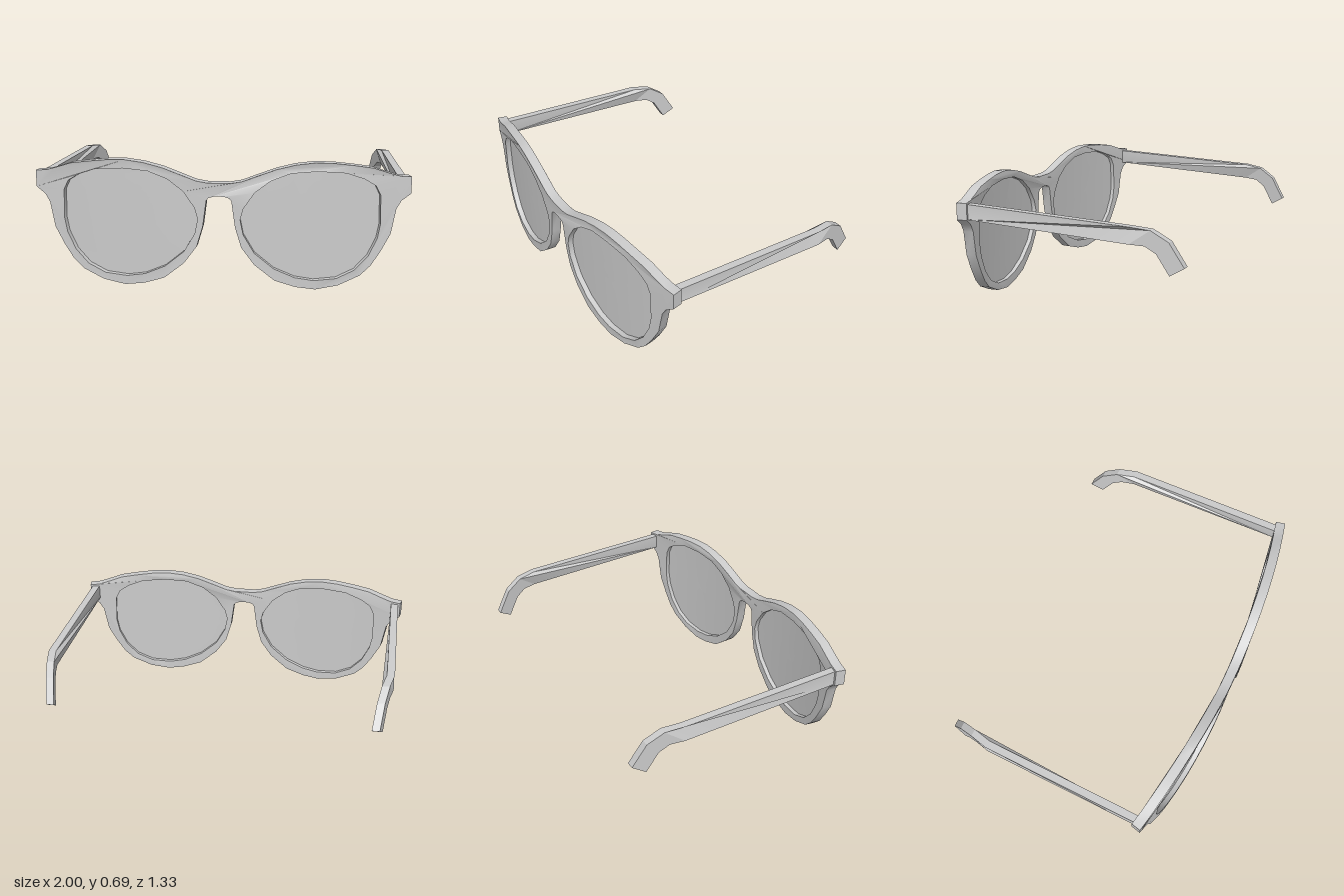
import * as THREE from 'three';
import { toCreasedNormals } from 'three/addons/utils/BufferGeometryUtils.js';

const THICK = 0.055;
const material = new THREE.MeshStandardMaterial({ color: 0xcccccc });
const lensMaterial = new THREE.MeshStandardMaterial({ color: 0xcccccc, side: THREE.DoubleSide });

const toPoints = (list) => list.map(([x, y]) => new THREE.Vector2(x, y));
const mirror = (list) => list.map(([x, y]) => [-x, y]).reverse();

// Half of the frame outline, from the top of the bridge round to its underside
const halfOutline = [
  [0.06, 0.575], [0.12, 0.585], [0.2, 0.615], [0.3, 0.651], [0.4, 0.675], [0.5, 0.686],
  [0.6, 0.682], [0.7, 0.67], [0.8, 0.655], [0.88, 0.628], [0.94, 0.61], [1, 0.605],
  [1, 0.515], [0.95, 0.478], [0.925, 0.435], [0.9, 0.3], [0.85, 0.205], [0.8, 0.128],
  [0.745, 0.075], [0.63, 0.022], [0.51, 0.001], [0.405, 0.015], [0.295, 0.05], [0.187, 0.136],
  [0.118, 0.23], [0.085, 0.34], [0.066, 0.48], [0.055, 0.495], [0.03, 0.503],
];

// Lens opening on the +x side
const opening = [
  [0.51, 0.64], [0.66, 0.63], [0.755, 0.597], [0.815, 0.56], [0.84, 0.51], [0.845, 0.355],
  [0.83, 0.275], [0.785, 0.18], [0.715, 0.105], [0.62, 0.06], [0.5, 0.05], [0.4, 0.067],
  [0.29, 0.115], [0.187, 0.2], [0.128, 0.3], [0.112, 0.38], [0.128, 0.44], [0.187, 0.527],
  [0.27, 0.59], [0.375, 0.63],
].reverse();

// Wraps flat geometry (front face at z = 0) round the curved face line
function wrap(geometry) {
  const p = geometry.attributes.position;
  for (let i = 0; i < p.count; i++) {
    const x = p.getX(i), depth = p.getZ(i);
    const slope = 0.222 * x, len = Math.hypot(slope, 1);
    p.setX(i, x + (depth * slope) / len);
    p.setZ(i, 0.666 - 0.111 * x * x + depth / len);
  }
  geometry.computeVertexNormals();
  return geometry;
}

function frameGeometry() {
  const shape = new THREE.Shape(toPoints([[0, 0.575], ...halfOutline, [0, 0.505], ...mirror(halfOutline)]));
  shape.holes.push(new THREE.Path(toPoints(opening)), new THREE.Path(toPoints(mirror(opening))));
  const geometry = new THREE.ExtrudeGeometry(shape, { depth: THICK, bevelEnabled: false });
  return toCreasedNormals(wrap(geometry.translate(0, 0, -THICK)), 0.5);
}

// A disc whose rings are stretched to the outline of the opening
function lensGeometry(outline) {
  const n = outline.length, cx = outline === opening ? 0.49 : -0.49, cy = 0.35;
  const geometry = new THREE.RingGeometry(0, 1, n, 5);
  const p = geometry.attributes.position;
  for (let i = 0; i < p.count; i++) {
    const r = Math.floor(i / (n + 1)) / 5;
    const [x, y] = outline[(i % (n + 1)) % n];
    p.setXYZ(i, cx + (x - cx) * r, cy + (y - cy) * r, -0.03);
  }
  return wrap(geometry);
}

// Temple side profile as [z, y]
const templeProfile = [
  [0.53, 0.597], [-0.4, 0.566], [-0.505, 0.553], [-0.593, 0.498], [-0.668, 0.373],
  [-0.597, 0.33], [-0.533, 0.438], [-0.478, 0.474], [-0.4, 0.479], [0.53, 0.515],
];

function templeGeometry(side) {
  const width = 0.042;
  const shape = new THREE.Shape(toPoints(templeProfile.map(([z, y]) => [-z, y])));
  const geometry = new THREE.ExtrudeGeometry(shape, { depth: width, bevelEnabled: false });
  geometry.translate(0, 0, -width / 2).rotateY(Math.PI / 2);
  // Arms close in slightly, then the tips turn further inwards
  const p = geometry.attributes.position;
  for (let i = 0; i < p.count; i++) {
    const z = p.getZ(i);
    const middle = z > -0.4 ? 0.937 + (z + 0.4) * 0.018 : 0.937 + (z + 0.4) * 0.23;
    p.setX(i, p.getX(i) + side * middle);
  }
  geometry.computeVertexNormals();
  return toCreasedNormals(geometry, 0.3);
}

export function createModel() {
  const group = new THREE.Group();
  group.name = 'glasses';
  const add = (name, geometry, mat = material) => {
    const mesh = new THREE.Mesh(geometry, mat);
    mesh.name = name;
    group.add(mesh);
  };
  add('frame', frameGeometry());
  add('leftLens', lensGeometry(opening), lensMaterial);
  add('rightLens', lensGeometry(mirror(opening)), lensMaterial);
  add('leftTemple', templeGeometry(1));
  add('rightTemple', templeGeometry(-1));
  return group;
}
